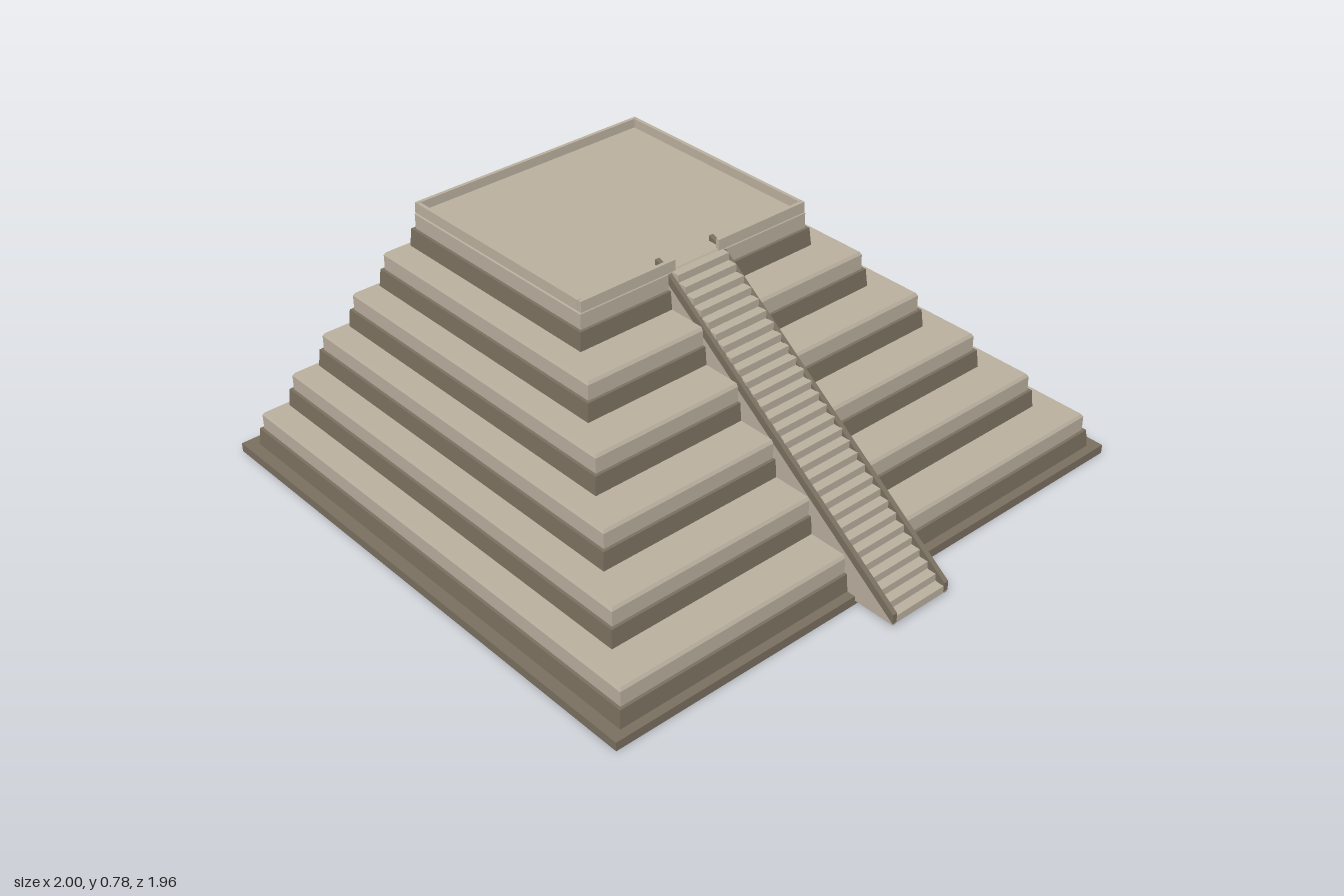
import * as THREE from 'three';

const lightStone = new THREE.MeshStandardMaterial({ color: 0xbcb1a0 });
lightStone.name = 'lightStone';
const darkStone = new THREE.MeshStandardMaterial({ color: 0x7b7060 });
darkStone.name = 'darkStone';

// Box from extents whose top edges are pulled inwards by "inset"
function slab(name, material, halfX, back, front, y0, y1, inset = 0) {
  const geo = new THREE.BoxGeometry(2 * halfX, y1 - y0, front - back);
  const p = geo.attributes.position;
  for (let i = 0; i < p.count; i++) {
    if (p.getY(i) > 0) {
      p.setX(i, p.getX(i) - Math.sign(p.getX(i)) * inset);
      p.setZ(i, p.getZ(i) - Math.sign(p.getZ(i)) * inset);
    }
  }
  geo.computeVertexNormals();
  const mesh = new THREE.Mesh(geo, material);
  mesh.name = name;
  mesh.position.set(0, (y0 + y1) / 2, (front + back) / 2);
  return mesh;
}

// Side profile given as [z, y] points, extruded along x between x0 and x1
function sideProfile(name, material, points, x0, x1) {
  const shape = new THREE.Shape(points.map(([z, y]) => new THREE.Vector2(-z, y)));
  const geo = new THREE.ExtrudeGeometry(shape, { depth: x1 - x0, bevelEnabled: false });
  geo.rotateY(Math.PI / 2);
  geo.translate(x0, 0, 0);
  const mesh = new THREE.Mesh(geo, material);
  mesh.name = name;
  return mesh;
}

export function createModel() {
  const model = new THREE.Group();
  model.name = 'steppedPyramid';

  model.add(slab('base', darkStone, 1, -0.98, 0.835, 0, 0.03));

  // Six terraces: dark footing, light wall, chamfered rim
  for (let i = 0; i < 6; i++) {
    const tier = new THREE.Group();
    tier.name = 'terrace' + (i + 1);
    const half = 0.945 - 0.1005 * i;
    const front = 0.79 - 0.149 * i;
    const back = -0.925 + 0.036 * i;
    const y = 0.03 + 0.12 * i;
    tier.add(
      slab('footing', darkStone, half + 0.015, back - 0.015, front + 0.015, y, y + 0.06, 0.005),
      slab('wall', lightStone, half, back, front, y + 0.06, y + 0.11),
      slab('rim', lightStone, half, back, front, y + 0.11, y + 0.12, 0.006)
    );
    model.add(tier);
  }

  // Low parapet round the summit, open at the head of the stairs
  const parapet = new THREE.Group();
  parapet.name = 'parapet';
  const wall = (name, x0, x1, z0, z1) => {
    const mesh = slab(name, lightStone, (x1 - x0) / 2, z0, z1, 0.745, 0.78, 0.001);
    mesh.position.x = (x0 + x1) / 2;
    parapet.add(mesh);
  };
  wall('backParapet', -0.44, 0.44, -0.745, -0.731);
  for (const [side, s] of [['left', 1], ['right', -1]]) {
    const span = (a, b) => (s > 0 ? [a, b] : [-b, -a]);
    wall(side + 'Parapet', ...span(0.426, 0.44), -0.731, 0.031);
    wall(side + 'FrontParapet', ...span(0.085, 0.44), 0.031, 0.045);
  }
  model.add(parapet);

  // Stair flight with a sloping underside
  const steps = 29, zFoot = 0.98, zHead = 0.04, yFoot = 0.015, yHead = 0.745;
  const run = (zFoot - zHead) / steps, rise = (yHead - yFoot) / steps;
  const profile = [[0.0, yFoot], [zFoot, yFoot]];
  for (let k = 0; k < steps; k++) {
    profile.push([zFoot - k * run, yFoot + (k + 1) * rise]);
    profile.push([zFoot - (k + 1) * run, yFoot + (k + 1) * rise]);
  }
  profile.push([0.0, yHead]);
  // extrusion runs with -z as its horizontal axis
  model.add(sideProfile('stairs', lightStone, profile, -0.1, 0.1));

  // Sloping balustrades with light cheek walls beneath
  const slope = 0.735;
  const railTop = (z) => 0.052 + slope * (0.982 - z);
  for (const [side, x0] of [['left', 0.098], ['right', -0.114]]) {
    model.add(sideProfile(side + 'Balustrade', darkStone, [
      [0.982, railTop(0.982) - 0.032], [0.982, railTop(0.982)],
      [0.03, railTop(0.03)], [-0.012, 0.768], [-0.012, 0.735], [0.03, railTop(0.03) - 0.032]
    ], x0, x0 + 0.016));
    model.add(sideProfile(side + 'CheekWall', lightStone, [
      [0.982, 0.015], [0.982, 0.021], [0.04, railTop(0.04) - 0.031], [0.04, 0.015]
    ], x0 + 0.001, x0 + 0.015));
  }
  return model;
}
